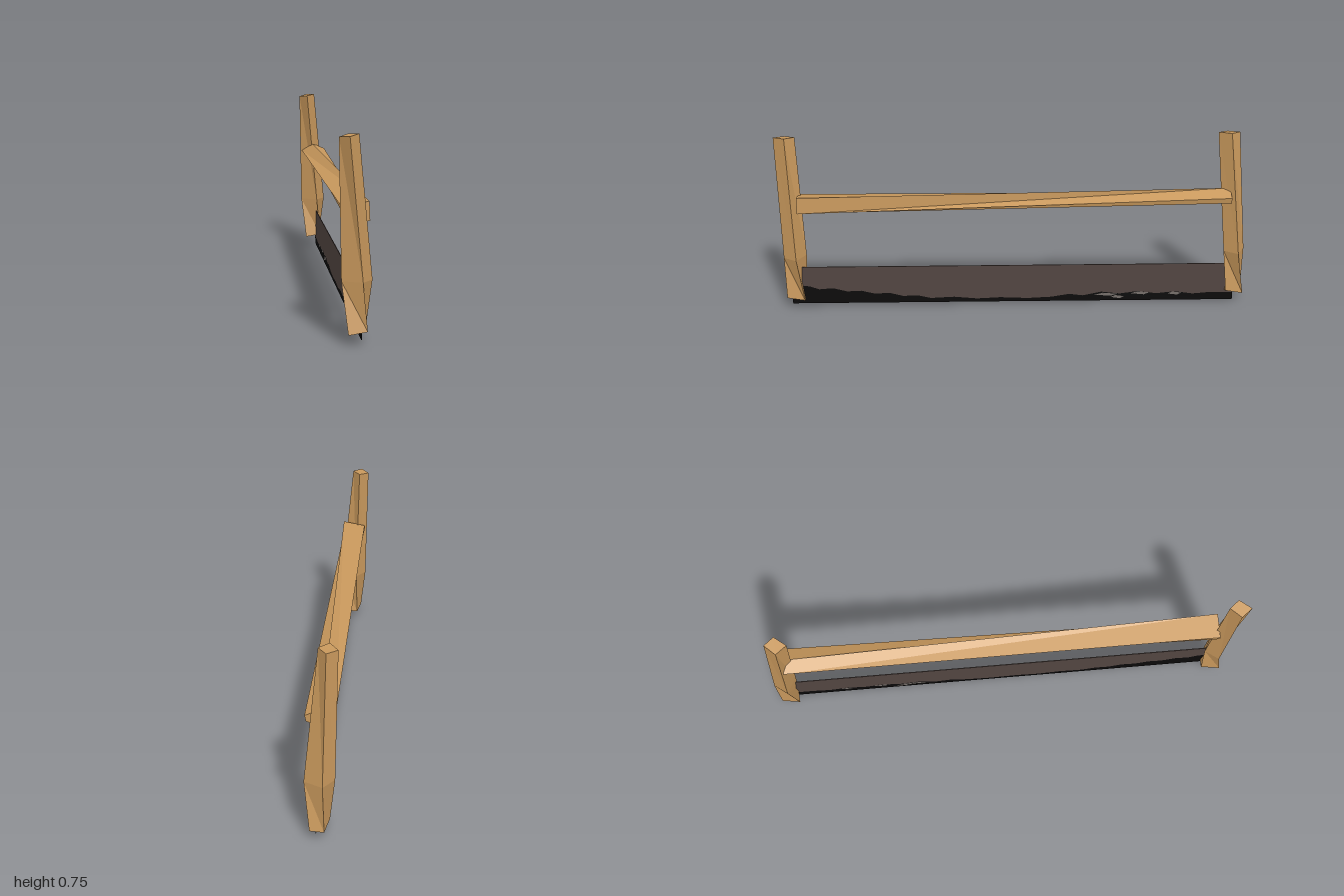
import * as THREE from 'three';

// Skin a list of cross-sections (each a loop of [x, y, z]) and cap both ends.
// Loops run counter-clockwise as seen from the last section.
function loft(sections) {
  const pos = [];
  const n = sections[0].length;
  const tri = (a, b, c) => pos.push(...a, ...b, ...c);
  for (let k = 0; k < sections.length - 1; k++) {
    const a = sections[k], b = sections[k + 1];
    for (let i = 0; i < n; i++) {
      const j = (i + 1) % n;
      tri(a[i], a[j], b[i]);
      tri(a[j], b[j], b[i]);
    }
  }
  const first = sections[0], last = sections[sections.length - 1];
  for (let i = 1; i < n - 1; i++) {
    tri(first[0], first[i + 1], first[i]);
    tri(last[0], last[i], last[i + 1]);
  }
  const g = new THREE.BufferGeometry();
  g.setAttribute('position', new THREE.Float32BufferAttribute(pos, 3));
  g.computeVertexNormals();
  return g;
}

// Thin upright plate from [z, y] outline points, centred on the given x
function plate(points, x, thickness) {
  const shape = new THREE.Shape(points.map(([z, y]) => new THREE.Vector2(-z, y)));
  const g = new THREE.ExtrudeGeometry(shape, { depth: thickness, bevelEnabled: false });
  g.rotateY(Math.PI / 2);
  g.translate(x - thickness / 2, 0, 0);
  return g;
}

export function createModel() {
  const group = new THREE.Group();
  const material = (name, color) => {
    const m = new THREE.MeshStandardMaterial({ color });
    m.name = name;
    return m;
  };
  const wood = material('wood', 0xc8985c);
  const steel = material('dark steel', 0x524541);
  const black = material('blackened edge', 0x0a0909);
  const worn = material('worn metal', 0x77706b);
  wood.flatShading = true;

  const add = (name, geometry, mat) => {
    const mesh = new THREE.Mesh(geometry, mat);
    mesh.name = name;
    group.add(mesh);
  };

  // Hand-hewn end posts: four-sided, twisting and tapering towards the top
  const bottom = [[-0.03, 0.04, 0.98], [0.04, 0.05, 0.975], [0.04, 0.037, 0.9], [-0.015, 0.033, 0.9]];
  const middle = [[-0.052, 0.23, 0.945], [0.022, 0.23, 0.981], [0.062, 0.23, 0.925], [-0.01, 0.23, 0.888]];
  const top = [[-0.062, 0.745, 0.955], [-0.028, 0.75, 1.0], [0.01, 0.755, 0.95], [-0.022, 0.752, 0.91]];
  const shift = (loop, dz) => loop.map(([x, y, z]) => [x, y, z + dz]);
  add('frontPost', loft([bottom, middle, top]), wood);
  // The back post leans inwards
  add('backPost', loft([shift(bottom, -1.98 + 0.085), shift(middle, -1.886), shift(top, -1.863)]), wood);

  // Twisted crossbar between the posts
  const barBack = [[0, 0.51], [-0.05, 0.475], [0, 0.438], [0.055, 0.46], [0.06, 0.484]];
  const barFront = [[0.052, 0.51], [-0.048, 0.492], [-0.05, 0.48], [0.04, 0.437], [0.055, 0.44]];
  add('crossbar', loft([
    barBack.map(([x, y]) => [x, y, -0.92]),
    barFront.map(([x, y]) => [x, y, 0.91]),
  ]), wood);

  // Blade: ragged border between the steel and the blackened cutting edge
  const border = [
    [0.955, 0.1], [0.88, 0.095], [0.84, 0.08], [0.78, 0.084], [0.72, 0.068], [0.66, 0.07],
    [0.6, 0.055], [0.54, 0.058], [0.48, 0.042], [0.42, 0.044], [0.36, 0.03], [0.26, 0.034],
    [0.16, 0.024], [0.06, 0.028], [-0.06, 0.022], [-0.16, 0.026], [-0.24, 0.038], [-0.3, 0.03],
    [-0.38, 0.046], [-0.46, 0.036], [-0.54, 0.046], [-0.62, 0.034], [-0.7, 0.042], [-0.78, 0.03],
    [-0.86, 0.036], [-0.955, 0.034],
  ];
  const bladeX = 0.02;
  add('blade', plate([[-0.955, 0.171], [0.955, 0.185], ...border], bladeX, 0.003), steel);
  add('cuttingEdge', plate([...border, [-0.955, 0], [0.955, 0.016]], bladeX, 0.003), black);

  // Worn patches along the cutting edge, showing on both faces
  for (const [z, y, w] of [[-0.4, 0.032, 0.05], [-0.45, 0.02, 0.03], [-0.55, 0.036, 0.04], [-0.7, 0.032, 0.03]]) {
    add('wornPatch', plate([
      [z + w, y], [z + w * 0.3, y + 0.009], [z - w, y + 0.003], [z - w * 0.4, y - 0.006],
    ], bladeX, 0.004), worn);
  }
  return group;
}
